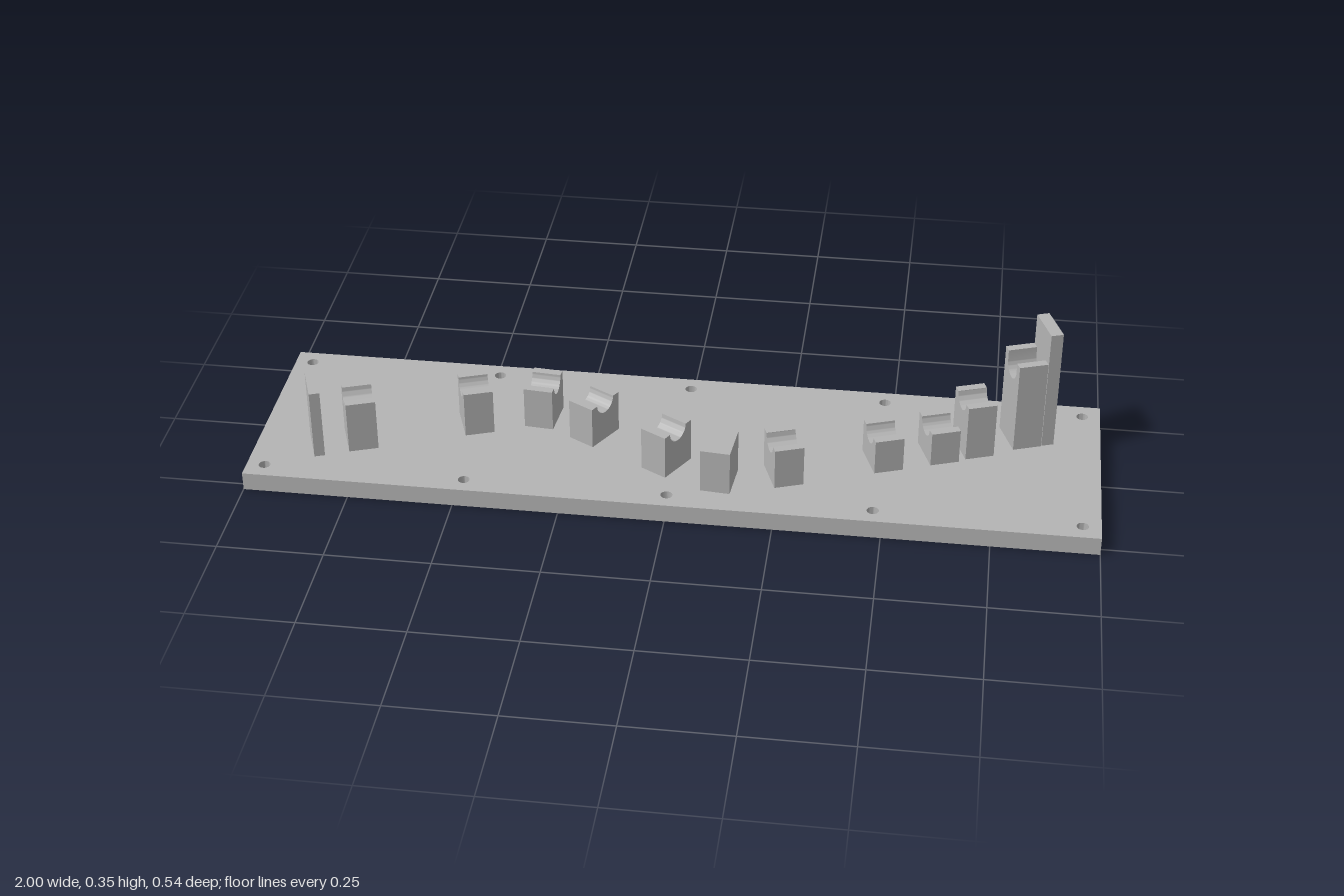
import * as THREE from 'three';
import { toCreasedNormals } from 'three/addons/utils/BufferGeometryUtils.js';

const BASE_H = 0.045, BLOCK_W = 0.07, BLOCK_L = 0.1, GROOVE_R = 0.03;

export function createModel() {
  const group = new THREE.Group();
  const grey = new THREE.MeshStandardMaterial({ color: 0xb4b4b4 });
  grey.name = 'plain grey';

  const add = (name, geometry, parent = group) => {
    const mesh = new THREE.Mesh(geometry, grey);
    mesh.name = name;
    parent.add(mesh);
    return mesh;
  };

  // Base board with two rows of screw holes
  const board = new THREE.Shape();
  board.moveTo(-1, -0.271).lineTo(1, -0.271).lineTo(1, 0.271).lineTo(-1, 0.271).closePath();
  for (let i = -2; i <= 2; i++) {
    for (const z of [-0.228, 0.228]) {
      board.holes.push(new THREE.Path().absarc(i * 0.4785, z, 0.014, 0, Math.PI * 2, true));
    }
  }
  const boardGeo = new THREE.ExtrudeGeometry(board, { depth: BASE_H, bevelEnabled: false, curveSegments: 20 });
  boardGeo.rotateX(-Math.PI / 2);
  add('baseBoard', toCreasedNormals(boardGeo, 0.6));

  // Block with a round-bottomed channel running across its top
  const saddleGeometry = (height, depth) => {
    const h = BLOCK_L / 2, s = new THREE.Shape();
    s.moveTo(-h, 0).lineTo(h, 0).lineTo(h, height).lineTo(GROOVE_R, height);
    s.lineTo(GROOVE_R, height - depth + GROOVE_R);
    s.absarc(0, height - depth + GROOVE_R, GROOVE_R, 0, -Math.PI, true);
    s.lineTo(-GROOVE_R, height).lineTo(-h, height).closePath();
    const g = new THREE.ExtrudeGeometry(s, { depth: BLOCK_W, bevelEnabled: false, curveSegments: 20 });
    g.translate(0, 0, -BLOCK_W / 2).rotateY(Math.PI / 2);
    return toCreasedNormals(g, 0.6);
  };

  const boxGeometry = (width, height) =>
    new THREE.BoxGeometry(width, height, BLOCK_L).translate(0, height / 2, 0);

  // x, z, top height, turn in degrees, channel depth, round seat in the channel
  const saddles = [
    [-0.756, 0.09, 0.175, 20, 0.03, false],
    [-0.495, -0.013, 0.16, 20, 0.03, true],
    [-0.338, -0.06, 0.15, -5, 0.03, false],
    [-0.206, -0.005, 0.15, -30, 0.03, false],
    [-0.018, 0.099, 0.155, -30, 0.03, false],
    [0.261, 0.109, 0.147, 20, 0.03, false],
    [0.488, 0.019, 0.132, 20, 0.03, false],
    [0.617, -0.031, 0.132, 20, 0.03, false],
    [0.698, -0.067, 0.187, 20, 0.03, false],
    [0.809, -0.122, 0.275, 20, 0.055, true],
  ];
  for (const [x, z, top, turn, depth, seat] of saddles) {
    const post = new THREE.Group();
    post.name = 'saddlePost';
    post.position.set(x, BASE_H, z);
    post.rotation.y = THREE.MathUtils.degToRad(turn);
    add('saddleBlock', saddleGeometry(top - BASE_H, depth), post);
    if (seat) {
      const disc = add('saddleSeat', new THREE.CylinderGeometry(0.013, 0.013, 0.006, 20), post);
      disc.position.y = top - BASE_H - depth + 0.0005;
    }
    group.add(post);
  }

  // Plain block and the two end stops: x, z, top height, turn, width
  const plain = [
    ['plainBlock', 0.114, 0.153, 0.155, -5, BLOCK_W],
    ['lowEndStop', -0.854, 0.129, 0.22, 20, 0.025],
    ['highEndStop', 0.857, -0.141, 0.352, 20, 0.03],
  ];
  for (const [name, x, z, top, turn, width] of plain) {
    const mesh = add(name, boxGeometry(width, top - BASE_H));
    mesh.position.set(x, BASE_H, z);
    mesh.rotation.y = THREE.MathUtils.degToRad(turn);
  }

  return group;
}
